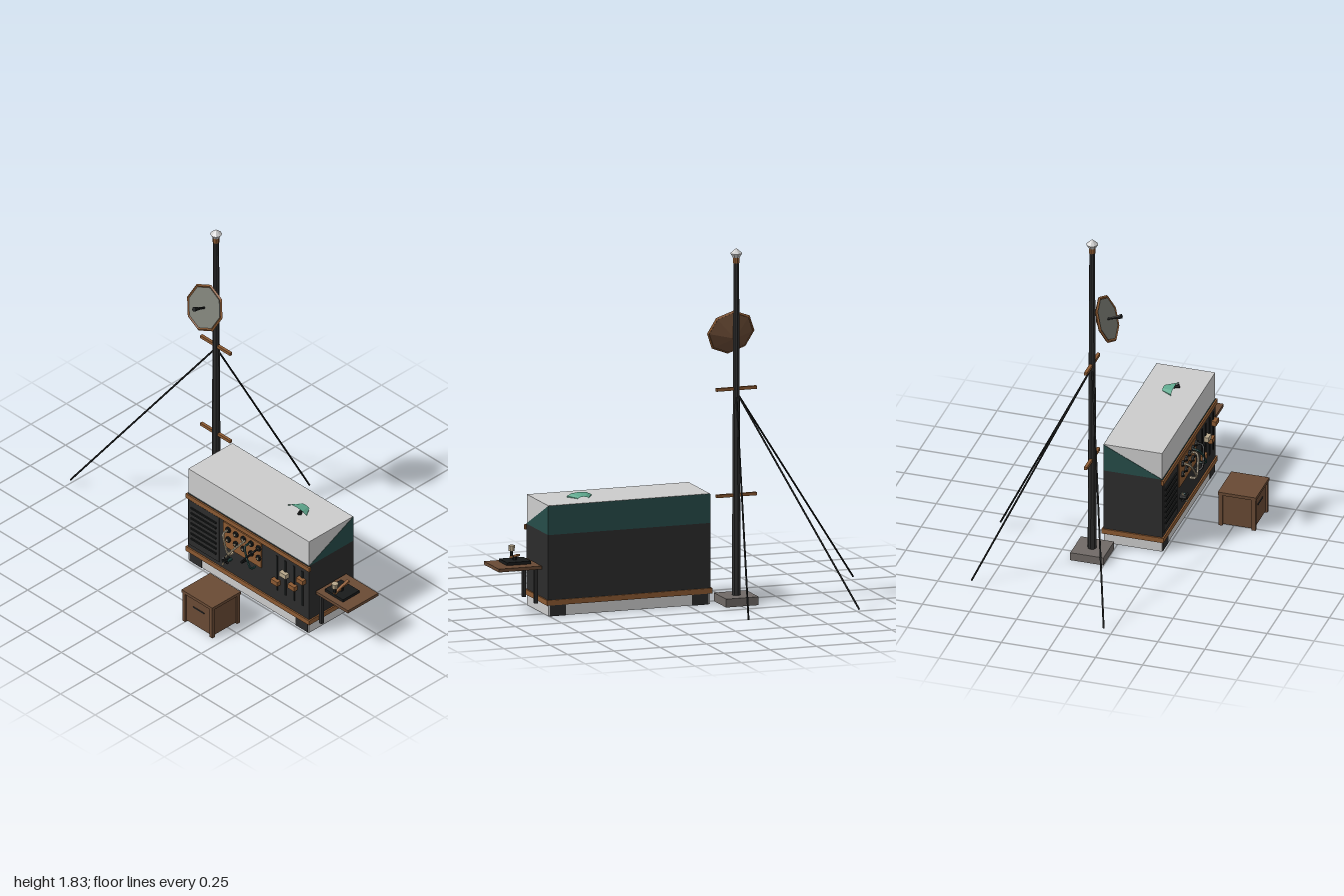
import * as THREE from 'three';

const mat = (name, color, opts = {}) => {
  const m = new THREE.MeshStandardMaterial({ color, ...opts });
  m.name = name;
  return m;
};

export function createModel() {
  const root = new THREE.Group();
  root.name = 'radioStation';
  const flat = { flatShading: true };
  const light = mat('pale grey', 0xcccccc, flat);
  const dark = mat('charcoal', 0x2c2c2c, flat);
  const black = mat('black', 0x181a1a, flat);
  const wood = mat('brown wood', 0x694a34, flat);
  const copper = mat('copper', 0x8c5a32, flat);
  const deepTeal = mat('deep teal', 0x264c49, flat);
  const teal = mat('lamp teal', 0x5fa88e, { flatShading: true, side: THREE.DoubleSide });
  const stone = mat('stone', 0x706a66, flat);
  const dishGrey = mat('dish grey', 0x787a72, flat);
  const cream = mat('cream', 0xb9a98c, flat);

  const add = (name, geo, m, parent = root) => {
    const mesh = new THREE.Mesh(geo, m);
    mesh.name = name;
    parent.add(mesh);
    return mesh;
  };
  // Box given by its min and max on each axis
  const box = (name, m, x0, x1, y0, y1, z0, z1, parent = root) => {
    const mesh = add(name, new THREE.BoxGeometry(x1 - x0, y1 - y0, z1 - z0), m, parent);
    mesh.position.set((x0 + x1) / 2, (y0 + y1) / 2, (z0 + z1) / 2);
    return mesh;
  };
  // Round bar between two points
  const rod = (name, m, a, b, r0, r1 = r0, sides = 6, parent = root) => {
    const p = new THREE.Vector3(...a), q = new THREE.Vector3(...b);
    const d = q.clone().sub(p);
    const mesh = add(name, new THREE.CylinderGeometry(r1, r0, d.length(), sides), m, parent);
    mesh.position.copy(p).lerp(q, 0.5);
    mesh.quaternion.setFromUnitVectors(new THREE.Vector3(0, 1, 0), d.normalize());
    return mesh;
  };

  // Mast
  const mast = new THREE.Group();
  mast.name = 'mast';
  root.add(mast);
  const mx = -0.253, mz = -0.09;
  box('mastBase', stone, mx - 0.088, mx + 0.088, 0, 0.043, mz - 0.088, mz + 0.088, mast);
  rod('mastPole', dark, [mx, 0.04, mz], [mx, 1.76, mz], 0.024, 0.015, 8, mast);
  rod('mastCollar', copper, [mx, 1.755, mz], [mx, 1.785, mz], 0.018, 0.018, 8, mast);
  const cap = [[0, 1.78], [0.016, 1.78], [0.031, 1.805], [0, 1.832]].map(p => new THREE.Vector2(...p));
  add('mastCap', new THREE.LatheGeometry(cap, 8), light, mast).position.set(mx, 0, mz);
  for (const y of [0.558, 1.107])
    box('crossArm', copper, mx - 0.108, mx + 0.108, y - 0.008, y + 0.008, mz - 0.008, mz + 0.008, mast);
  for (const [x, z] of [[-0.997, 0.212], [-0.735, -0.575], [-0.12, -0.62]])
    rod('guyWire', black, [mx, 1.09, mz], [x, 0.025, z], 0.005, 0.005, 5, mast);

  // Dish: local +y is the facing direction
  const dish = new THREE.Group();
  dish.name = 'dish';
  dish.position.set(mx, 1.383, -0.01);
  dish.rotation.x = THREE.MathUtils.degToRad(69.5);
  root.add(dish);
  const back = add('dishBack', new THREE.ConeGeometry(0.127, 0.065, 8), wood, dish);
  back.rotation.x = Math.PI;
  back.position.y = -0.0325;
  add('dishFace', new THREE.CylinderGeometry(0.112, 0.112, 0.006, 8), dishGrey, dish).position.y = 0.001;
  const rim = add('dishRim', new THREE.TorusGeometry(0.12, 0.008, 4, 8), copper, dish);
  rim.rotation.x = Math.PI / 2;
  rod('feedArm', black, [0, 0, 0], [0, 0.06, 0], 0.006, 0.008, 6, dish);
  rod('feedHorn', black, [0, 0.05, 0], [0, 0.082, 0], 0.009, 0.013, 6, dish);

  // Cabinet
  const cab = new THREE.Group();
  cab.name = 'cabinet';
  root.add(cab);
  const x0 = -0.12, x1 = 0.757, z0 = -0.074, z1 = 0.24;
  box('paleCasing', light, x0 + 0.002, x1 - 0.002, 0.001, 0.571, z0 + 0.002, z1 - 0.002, cab);
  box('cabinetBody', dark, x0, x1, 0.06, 0.42, z0, z1, cab);
  const side = new THREE.Shape([[-z1, 0.42], [-z0, 0.42], [-z0, 0.57]].map(p => new THREE.Vector2(...p)));
  const wedge = new THREE.ExtrudeGeometry(side, { depth: x1 - x0, bevelEnabled: false });
  add('slopedConsole', wedge.rotateY(Math.PI / 2), deepTeal, cab).position.x = x0;
  box('baseTrim', copper, x0 - 0.008, x1 + 0.008, 0.057, 0.084, z0 - 0.006, z1 + 0.008, cab);
  box('frontTrim', copper, x0 - 0.008, x1 + 0.008, 0.39, 0.415, z1 - 0.006, z1 + 0.008, cab);
  for (const x of [-0.108, 0.66])
    for (const z of [z0, z1 - 0.088])
      box('foot', dark, x, x + 0.087, 0, 0.06, z, z + 0.088, cab);

  // Louvre panel
  box('louvrePanel', dark, -0.108, 0.11, 0.108, 0.386, z1, 0.245, cab);
  for (let i = 0; i < 7; i++)
    box('louvreSlat', black, -0.09, 0.093, 0.148 + i * 0.032, 0.157 + i * 0.032, 0.244, 0.251, cab);

  // Patch panel with jacks and hanging cables
  box('patchPanel', copper, 0.143, 0.416, 0.233, 0.382, z1, 0.247, cab);
  for (let i = 0; i < 5; i++)
    for (const y of [0.353, 0.292]) {
      const x = 0.184 + i * 0.055;
      rod('jackRing', black, [x, y, 0.246], [x, y, 0.258], 0.016, 0.016, 8, cab);
      rod('jackCore', cream, [x, y, 0.256], [x, y, 0.261], 0.006, 0.006, 6, cab);
    }
  const cable = (m, a, b) => {
    const path = new THREE.CatmullRomCurve3([
      [a, 0.353, 0.255], [a, 0.348, 0.285], [(a + b) / 2, 0.3, 0.302],
      [b, 0.25, 0.302], [b, 0.246, 0.27],
    ].map(p => new THREE.Vector3(...p)));
    add('patchCable', new THREE.TubeGeometry(path, 14, 0.006, 6), m, cab);
  };
  cable(cream, 0.184, 0.24);
  cable(cream, 0.31, 0.235);
  cable(deepTeal, 0.34, 0.4);
  cable(black, 0.404, 0.33);

  // Hand crank with crossed grips
  rod('crankHub', black, [0.174, 0.165, z1], [0.174, 0.165, 0.275], 0.014, 0.014, 8, cab);
  rod('crankBar', cream, [0.172, 0.187, 0.25], [0.172, 0.14, 0.28], 0.005, 0.005, 6, cab);
  rod('crankBar', dark, [0.176, 0.14, 0.25], [0.176, 0.187, 0.28], 0.007, 0.007, 6, cab);
  rod('crankKnob', deepTeal, [0.195, 0.17, z1], [0.195, 0.17, 0.262], 0.008, 0.008, 6, cab);

  // Sliders
  for (const [x, y, m] of [[0.527, 0.208, copper], [0.587, 0.284, cream], [0.65, 0.241, copper], [0.71, 0.311, copper]]) {
    box('sliderSlot', black, x - 0.006, x + 0.006, 0.15, 0.365, z1, 0.244, cab);
    box('sliderHandle', m, x - 0.024, x + 0.024, y - 0.013, y + 0.013, z1, 0.264, cab);
  }

  // Lamp shade half sunk in the top
  const shade = new THREE.CylinderGeometry(0.03, 0.07, 0.06, 10, 1, true);
  shade.rotateX(-Math.PI / 2).scale(1, 0.34, 1);
  add('lampShade', shade, teal).position.set(0.525, 0.57, 0.068);
  rod('lampBulb', black, [0.535, 0.574, 0.075], [0.557, 0.577, 0.112], 0.008, 0.011);

  // Side table
  const table = new THREE.Group();
  table.name = 'sideTable';
  root.add(table);
  box('tableTop', wood, 0.768, 1.0, 0.233, 0.25, -0.012, 0.203, table);
  for (const z of [0.013, 0.185])
    box('tableLeg', dark, 0.783, 0.8, 0.055, 0.235, z - 0.009, z + 0.009, table);

  // Key with lever on the table
  box('keyBase', black, 0.8, 0.931, 0.25, 0.265, 0.055, 0.17, table);
  const lever = box('keyLever', copper, 0.857, 0.873, 0.277, 0.288, 0.064, 0.172, table);
  lever.rotation.x = 0.3;
  rod('keyPivot', black, [0.865, 0.262, 0.118], [0.865, 0.284, 0.118], 0.012, 0.012, 6, table);
  rod('keyStem', black, [0.865, 0.265, 0.163], [0.865, 0.305, 0.163], 0.008, 0.008, 6, table);
  rod('keyKnob', cream, [0.865, 0.302, 0.163], [0.865, 0.33, 0.163], 0.016, 0.018, 8, table);

  // Crate seat
  const crate = new THREE.Group();
  crate.name = 'crate';
  root.add(crate);
  box('crateBody', wood, 0.24, 0.438, 0.006, 0.18, 0.434, 0.61, crate);
  box('crateLid', wood, 0.228, 0.45, 0.176, 0.193, 0.422, 0.624, crate);
  for (const x of [0.231, 0.427])
    for (const z of [0.425, 0.601])
      box('cratePost', wood, x, x + 0.02, 0, 0.177, z, z + 0.02, crate);
  box('crateHandle', dark, 0.3, 0.378, 0.112, 0.118, 0.609, 0.614, crate);

  return root;
}
